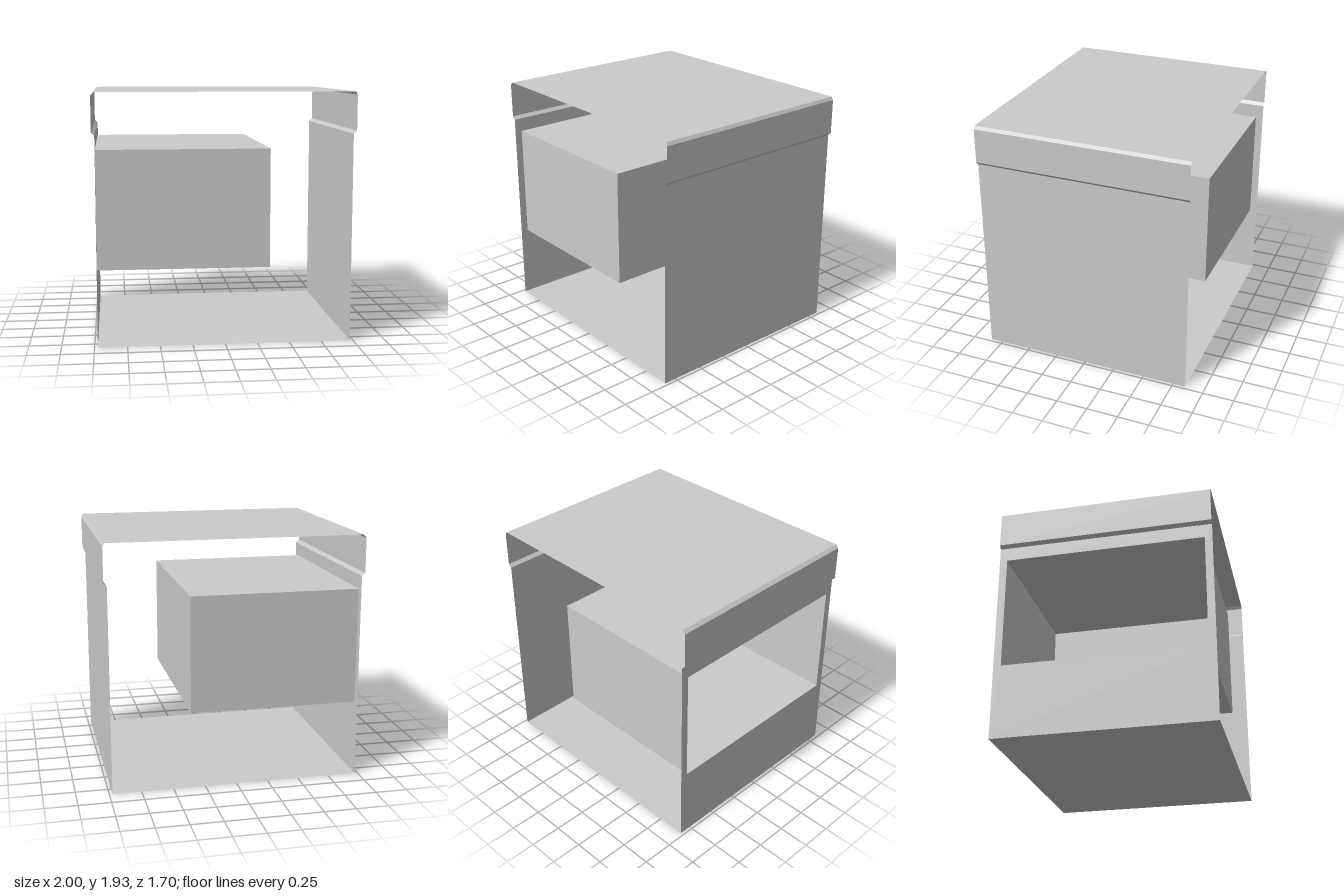
import * as THREE from 'three';

const material = new THREE.MeshStandardMaterial({ color: 0xcccccc, flatShading: true, side: THREE.DoubleSide });
const DEPTH = 1.7;
const WALL = 0.975;

// Sheet folded along a counter-clockwise [x, y] profile, running the full depth
function foldedSheet(profile) {
  const h = DEPTH / 2;
  const positions = [];
  for (let i = 0; i < profile.length - 1; i++) {
    const [ax, ay] = profile[i];
    const [bx, by] = profile[i + 1];
    positions.push(ax, ay, h, ax, ay, -h, bx, by, -h);
    positions.push(ax, ay, h, bx, by, -h, bx, by, h);
  }
  const geometry = new THREE.BufferGeometry();
  geometry.setAttribute('position', new THREE.Float32BufferAttribute(positions, 3));
  geometry.computeVertexNormals();
  return geometry;
}

export function createModel() {
  const group = new THREE.Group();
  const add = (name, geometry) => {
    const mesh = new THREE.Mesh(geometry, material);
    mesh.name = name;
    group.add(mesh);
    return mesh;
  };

  // Base and plain right-hand wall
  add('baseAndSideWall', foldedSheet([[-WALL, 0], [WALL, 0], [WALL, 1.61]]));

  // Projecting top band with chamfered edges
  add('topBand', foldedSheet([
    [WALL, 1.61], [1, 1.635], [1, 1.905], [0.985, 1.93],
    [-WALL, 1.93], [-1, 1.905], [-1, 1.635], [-WALL, 1.61],
  ]));

  // Inner compartment dimensions
  const box = { x0: -WALL, x1: 0.35, y0: 0.585, y1: 1.5, z: 0.79 };

  // Wall pierced by the compartment opening
  const wall = new THREE.Shape();
  wall.moveTo(-DEPTH / 2, 0).lineTo(DEPTH / 2, 0).lineTo(DEPTH / 2, 1.61).lineTo(-DEPTH / 2, 1.61).closePath();
  const hole = new THREE.Path();
  hole.moveTo(-box.z, box.y0).lineTo(-box.z, box.y1).lineTo(box.z, box.y1).lineTo(box.z, box.y0).closePath();
  wall.holes.push(hole);
  const wallGeometry = new THREE.ShapeGeometry(wall);
  wallGeometry.rotateY(-Math.PI / 2);
  add('openingWall', wallGeometry).position.x = -WALL;

  // Compartment: a box without its -x face
  const compartment = new THREE.BoxGeometry(box.x1 - box.x0, box.y1 - box.y0, box.z * 2);
  const index = Array.from(compartment.index.array);
  index.splice(6, 6);
  compartment.setIndex(index);
  compartment.clearGroups();
  add('compartment', compartment).position.set((box.x0 + box.x1) / 2, (box.y0 + box.y1) / 2, 0);

  return group;
}
